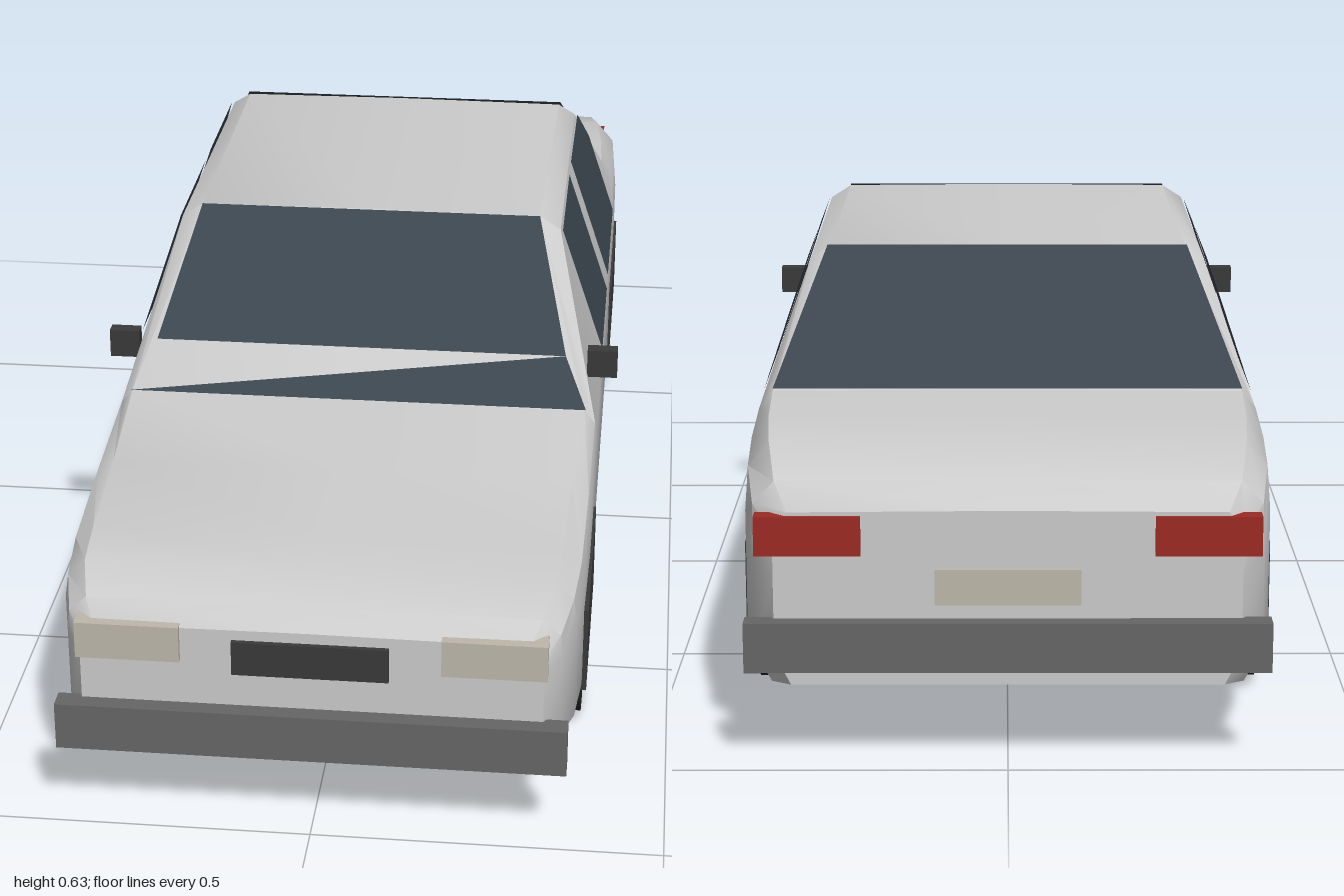
import * as THREE from 'three';
import { toCreasedNormals } from 'three/addons/utils/BufferGeometryUtils.js';

const mat = (color, side = THREE.FrontSide) => new THREE.MeshStandardMaterial({ color, side });

// One body slice: z, bottom, half width, belt height, upper corner (x, y), top edge (x, y)
const SLICES = [
  [-0.975, 0.115, 0.32, 0.27, 0.32, 0.33, 0.30, 0.36],
  [-0.93, 0.105, 0.352, 0.29, 0.35, 0.36, 0.32, 0.392],
  [-0.82, 0.09, 0.37, 0.32, 0.365, 0.385, 0.335, 0.42],
  [-0.70, 0.09, 0.375, 0.34, 0.37, 0.395, 0.345, 0.427],
  [-0.56, 0.09, 0.375, 0.37, 0.371, 0.405, 0.35, 0.432],
  [-0.37, 0.09, 0.375, 0.39, 0.303, 0.6, 0.275, 0.617],
  [0.18, 0.09, 0.375, 0.39, 0.303, 0.605, 0.27, 0.626],
  [0.39, 0.09, 0.375, 0.345, 0.372, 0.37, 0.355, 0.389],
  [0.60, 0.09, 0.375, 0.325, 0.37, 0.355, 0.345, 0.374],
  [0.78, 0.09, 0.372, 0.31, 0.367, 0.34, 0.34, 0.361],
  [0.87, 0.095, 0.365, 0.295, 0.36, 0.33, 0.335, 0.354],
  [0.94, 0.105, 0.348, 0.28, 0.345, 0.312, 0.32, 0.335],
  [0.975, 0.115, 0.325, 0.265, 0.323, 0.292, 0.305, 0.312],
];

function bodyGeometry() {
  const rings = SLICES.map(([z, b, w, belt, ux, uy, tx, ty]) => {
    const half = [[0, b], [w * 0.93, b], [w, b + 0.045], [w, belt], [ux, uy], [tx, ty], [0, ty + 0.002]];
    const mirrored = half.slice(1, -1).reverse().map(([x, y]) => [-x, y]);
    return [...half, ...mirrored].map(([x, y]) => [x, y, z]);
  });
  const pos = [];
  const tri = (...pts) => pts.forEach((p) => pos.push(...p));
  const n = rings[0].length;
  const last = rings.length - 1;
  for (let j = 0; j < n; j++) {
    const k = (j + 1) % n;
    for (let i = 0; i < last; i++) {
      const [r, s] = [rings[i], rings[i + 1]];
      tri(r[j], r[k], s[j]);
      tri(r[k], s[k], s[j]);
    }
    tri([0, 0.22, -0.975], rings[0][k], rings[0][j]);
    tri([0, 0.22, 0.975], rings[last][j], rings[last][k]);
  }
  const g = new THREE.BufferGeometry();
  g.setAttribute('position', new THREE.Float32BufferAttribute(pos, 3));
  return toCreasedNormals(g, 0.65);
}

// Flat convex pane from its corners
function paneGeometry(points) {
  const pos = [];
  for (let i = 1; i < points.length - 1; i++) pos.push(...points[0], ...points[i], ...points[i + 1]);
  const g = new THREE.BufferGeometry();
  g.setAttribute('position', new THREE.Float32BufferAttribute(pos, 3));
  g.computeVertexNormals();
  return g;
}

export function createModel() {
  const car = new THREE.Group();
  car.name = 'car';
  const add = (name, geometry, material) => {
    const m = new THREE.Mesh(geometry, material);
    m.name = name;
    car.add(m);
    return m;
  };
  // Box given by its limits on each axis
  const box = (name, [x0, x1], [y0, y1], [z0, z1], material) =>
    add(name, new THREE.BoxGeometry(x1 - x0, y1 - y0, z1 - z0), material)
      .position.set((x0 + x1) / 2, (y0 + y1) / 2, (z0 + z1) / 2);

  const glass = mat(0x3c464f, THREE.DoubleSide);
  const bumper = mat(0x666666);
  const dark = mat(0x3a3a3a);
  const tyre = mat(0x262626);
  const hub = mat(0x999999);
  const lamp = mat(0xbdb8aa);
  const red = mat(0x9c2a24);

  add('body', bodyGeometry(), mat(0xcccccc));

  // Windshield, its lower wedge and the rear window
  add('windshield', paneGeometry([
    [-0.322, 0.457, 0.337], [0.322, 0.457, 0.337], [0.27, 0.628, 0.184], [-0.27, 0.628, 0.184],
  ]), glass);
  add('windshieldWedge', paneGeometry([
    [-0.357, 0.393, 0.394], [0.357, 0.393, 0.394], [0.322, 0.457, 0.337],
  ]), glass);
  add('rearWindow', paneGeometry([
    [0.35, 0.436, -0.564], [-0.35, 0.436, -0.564], [-0.277, 0.62, -0.374], [0.277, 0.62, -0.374],
  ]), glass);

  // Side windows lie on the leaning cabin side
  const sideX = (y) => 0.379 - (y - 0.39) * 0.338;
  const sideWindows = {
    FrontWindow: [[0.18, 0.4], [-0.065, 0.4], [-0.065, 0.604], [0.18, 0.604]],
    RearWindow: [[-0.125, 0.4], [-0.425, 0.4], [-0.425, 0.54], [-0.37, 0.6], [-0.125, 0.604]],
  };

  for (const [side, s] of [['left', 1], ['right', -1]]) {
    const span = (a, b) => (s > 0 ? [a, b] : [-b, -a]);

    for (const [name, outline] of Object.entries(sideWindows)) {
      add(side + name, paneGeometry(outline.map(([z, y]) => [s * sideX(y), y, z])), glass);
    }

    // Wheels with hubs, and the dark arch panels above them
    for (const [end, z] of [['Front', 0.6], ['Rear', -0.58]]) {
      const wheel = new THREE.Group();
      wheel.name = side + end + 'Wheel';
      wheel.position.set(s * 0.328, 0.126, z);
      const tyreMesh = new THREE.Mesh(new THREE.CylinderGeometry(0.126, 0.126, 0.084, 16), tyre);
      const hubMesh = new THREE.Mesh(new THREE.CylinderGeometry(0.078, 0.078, 0.088, 16), hub);
      tyreMesh.name = 'tyre';
      hubMesh.name = 'hub';
      for (const part of [tyreMesh, hubMesh]) part.rotation.z = Math.PI / 2;
      wheel.add(tyreMesh, hubMesh);
      car.add(wheel);
      box(side + end + 'ArchPanel', span(0.355, 0.379), [0.115, 0.25], [z - 0.16, z + 0.16], dark);
    }

    box(side + 'Headlight', span(0.183, 0.33), [0.262, 0.317], [0.95, 0.983], lamp);
    box(side + 'TailLight', span(0.2, 0.345), [0.3, 0.355], [-0.982, -0.955], red);
    box(side + 'Mirror', span(0.355, 0.402), [0.414, 0.459], [0.295, 0.317], dark);
  }

  // Bumpers, grille and rear plate
  box('frontBumper', [-0.36, 0.36], [0.122, 0.193], [0.968, 1], bumper);
  box('rearBumper', [-0.36, 0.36], [0.14, 0.21], [-1, -0.968], bumper);
  box('grille', [-0.11, 0.11], [0.246, 0.298], [0.96, 0.982], dark);
  box('rearPlate', [-0.1, 0.1], [0.23, 0.28], [-0.98, -0.96], lamp);

  return car;
}
